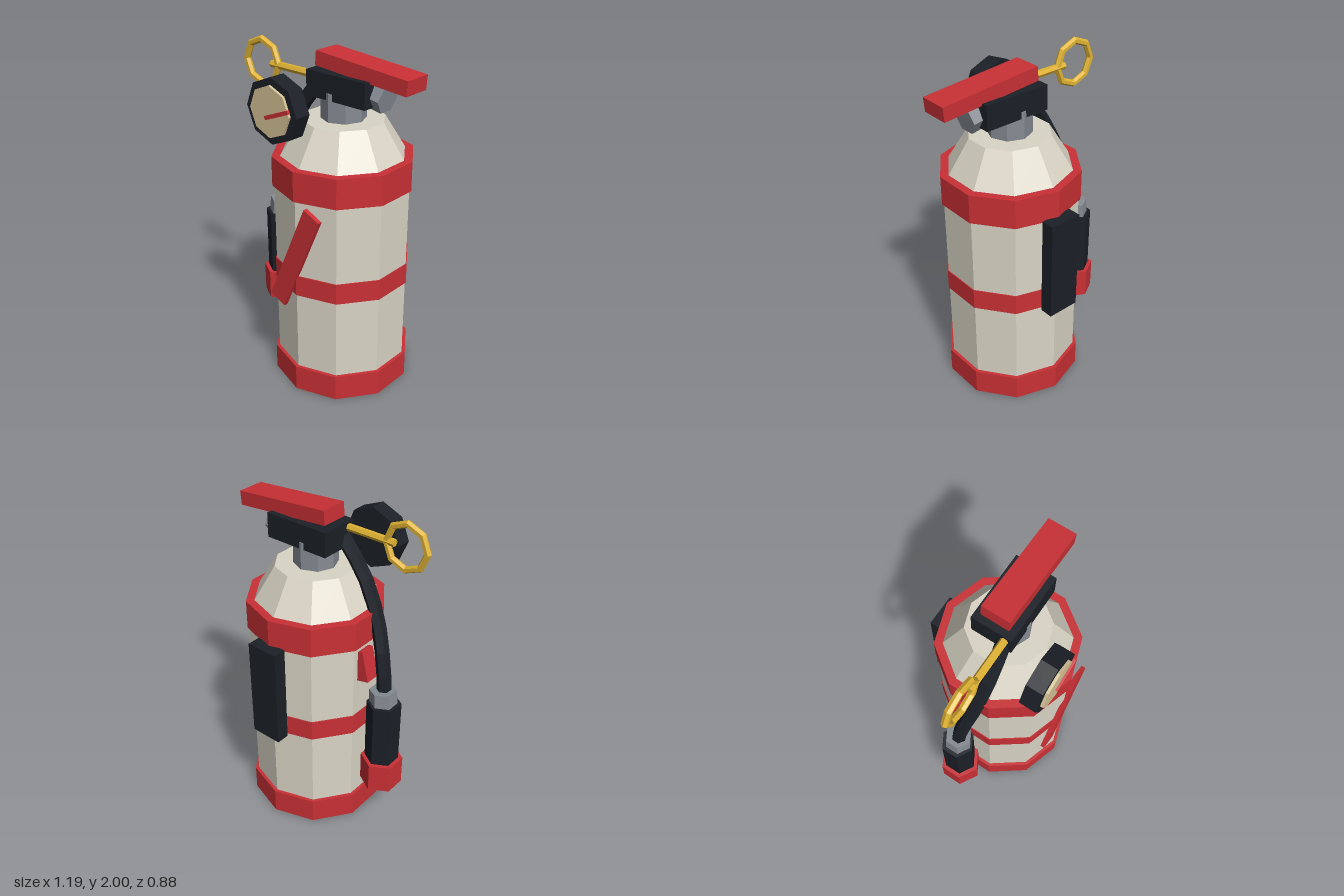
import * as THREE from 'three';

const mat = (color) => new THREE.MeshStandardMaterial({ color, flatShading: true });

export function createModel() {
  const red = mat(0xc93035), cream = mat(0xd9d4c5), black = mat(0x1b2027);
  const steel = mat(0x858c93), gold = mat(0xe0b333), dialTone = mat(0xd6c396);
  const model = new THREE.Group();
  const CX = 0.104, CZ = 0.022; // axis of the tank

  const add = (name, geometry, material, x, y, z, parent = model) => {
    const mesh = new THREE.Mesh(geometry, material);
    mesh.name = name;
    mesh.position.set(x, y, z);
    parent.add(mesh);
    return mesh;
  };
  const box = (name, material, w, h, d, x, y, z, rz = 0, parent = model) => {
    const mesh = add(name, new THREE.BoxGeometry(w, h, d), material, x, y, z, parent);
    mesh.rotation.z = rz;
    return mesh;
  };
  // Upright prism between two heights
  const prism = (name, material, rTop, rBottom, y0, y1, sides, x, z) =>
    add(name, new THREE.CylinderGeometry(rTop, rBottom, y1 - y0, sides), material, x, (y0 + y1) / 2, z);

  // Tank with its shoulder, bands and neck
  prism('tank', cream, 0.397, 0.397, 0.02, 1.36, 10, CX, CZ);
  prism('shoulder', cream, 0.237, 0.397, 1.36, 1.62, 10, CX, CZ);
  prism('baseBand', red, 0.418, 0.418, 0, 0.16, 10, CX, CZ);
  prism('middleBand', red, 0.403, 0.403, 0.655, 0.782, 10, CX, CZ);
  prism('upperBand', red, 0.409, 0.409, 1.245, 1.42, 10, CX, CZ);
  prism('neck', steel, 0.128, 0.128, 1.6, 1.78, 8, CX, CZ);

  // Valve head, lever and outlet
  box('valveBlock', black, 0.413, 0.145, 0.24, 0.143, 1.812, 0.021);
  box('lever', red, 0.617, 0.083, 0.167, 0.28, 1.92, 0.021, -0.081);
  const outlet = add('outlet', new THREE.CylinderGeometry(0.083, 0.083, 0.2, 6), steel, 0.305, 1.801, 0.018);
  outlet.rotation.z = -Math.PI / 2 - 0.165;

  // Safety pin with pull ring
  const pin = new THREE.Group();
  pin.name = 'safetyPin';
  model.add(pin);
  const rod = add('pinRod', new THREE.CylinderGeometry(0.022, 0.022, 0.36, 6), gold, -0.19, 1.85, 0.1, pin);
  rod.rotation.z = Math.PI / 2;
  add('pullRing', new THREE.TorusGeometry(0.13, 0.021, 6, 8), gold, -0.445, 1.85, 0.1, pin);

  // Pressure gauge
  const gauge = new THREE.Group();
  gauge.name = 'pressureGauge';
  gauge.position.set(-0.066, 1.71, 0);
  model.add(gauge);
  const disc = (name, material, r, z0, z1) => {
    const mesh = add(name, new THREE.CylinderGeometry(r, r, z1 - z0, 8), material, 0, 0, (z0 + z1) / 2, gauge);
    mesh.rotation.x = Math.PI / 2;
  };
  disc('gaugeCase', black, 0.186, 0.31, 0.408);
  disc('gaugeDial', dialTone, 0.145, 0.38, 0.424);
  box('gaugeNeedle', red, 0.185, 0.022, 0.018, 0.064, 0, 0.429, 0.38, gauge);

  // Hose, nozzle and hose clip
  const path = new THREE.CatmullRomCurve3([
    [-0.03, 1.8, 0.085], [-0.18, 1.6, 0.095], [-0.3, 1.36, 0.075], [-0.385, 1.1, 0.03], [-0.41, 0.92, 0.015],
  ].map((p) => new THREE.Vector3(...p)));
  add('hose', new THREE.TubeGeometry(path, 7, 0.043, 6), black, 0, 0, 0);
  const collar = prism('hoseCollar', steel, 0.08, 0.084, 0.86, 0.97, 6, -0.405, 0.013);
  collar.rotation.z = -0.08;
  prism('nozzleGrip', black, 0.102, 0.102, 0.46, 0.885, 6, -0.413, 0.012);
  prism('nozzleTip', red, 0.127, 0.127, 0.29, 0.477, 6, -0.415, 0.012);
  box('hoseClip', red, 0.08, 0.19, 0.095, -0.288, 1.12, -0.018, -0.24);

  // Diagonal front stripe and rear wall bracket
  box('frontStripe', red, 0.117, 0.683, 0.026, 0.1, 0.888, 0.422, -0.415);
  box('wallBracket', black, 0.196, 0.61, 0.08, 0.104, 0.955, -0.405);

  return model;
}
